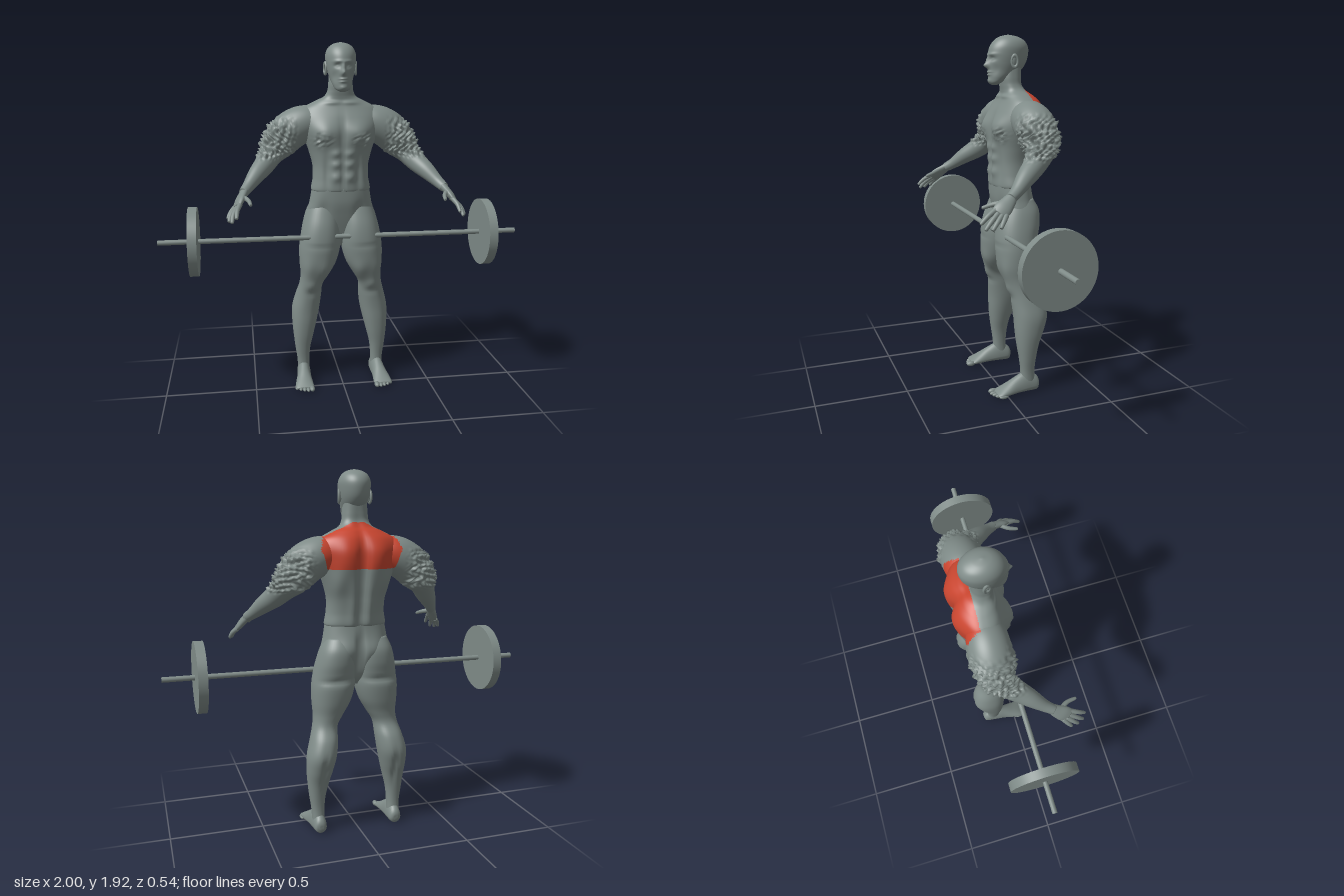
import * as THREE from 'three';

const skin = new THREE.MeshStandardMaterial({ color: 0x7f8b88 });
skin.name = 'grey';
const red = new THREE.MeshStandardMaterial({ color: 0xc8452f });
red.name = 'muscleRed';

// Smooth interpolation through the rows of a cross-section list
function rowAt(rows, t) {
  const n = rows.length - 1, i = Math.min(Math.floor(t * n), n - 1), f = t * n - i;
  const [a, b, c, d] = [Math.max(i - 1, 0), i, i + 1, Math.min(i + 2, n)].map(k => rows[k]);
  return b.map((_, k) => 0.5 * (2 * b[k] + (c[k] - a[k]) * f + (2 * a[k] - 5 * b[k] + 4 * c[k] - d[k]) * f * f
    + (3 * b[k] - a[k] - 3 * c[k] + d[k]) * f ** 3));
}

// Closed skin over rows [x, y, z, side radius, front radius, back radius];
// ref is the direction of the front radius; flat keeps the rings horizontal
function loft(rows, { seg = 32, steps = 40, ref = [0, 0, 1], flat = false, square = 1, warp, paint } = {}) {
  const pos = [], idx = [], painted = [], V = THREE.Vector3;
  for (let i = 0; i <= steps; i++) {
    const t = i / steps, r = rowAt(rows, t);
    const dir = flat ? new V(0, 1, 0) : new V(...rowAt(rows, Math.min(1, t + 0.01)).slice(0, 3))
      .sub(new V(...rowAt(rows, Math.max(0, t - 0.01)).slice(0, 3))).normalize();
    const v = new V(...ref).addScaledVector(dir, -dir.dot(new V(...ref))).normalize();
    const u = dir.clone().cross(v);
    for (let j = 0; j < seg; j++) {
      const a = j / seg * Math.PI * 2, c = Math.cos(a), s = Math.sin(a);
      const pw = k => Math.sign(k) * Math.abs(k) ** square;
      const p = new V(r[0], r[1], r[2]).addScaledVector(u, pw(c) * r[3]).addScaledVector(v, pw(s) * (s > 0 ? r[4] : r[5]));
      if (warp) warp(p, s, u.clone().multiplyScalar(c).addScaledVector(v, s));
      pos.push(p.x, p.y, p.z);
    }
  }
  const end = (steps + 1) * seg;
  pos.push(...rowAt(rows, 0).slice(0, 3), ...rowAt(rows, 1).slice(0, 3));
  const face = (...f) => {
    const m = [0, 1, 2].map(k => f.reduce((sum, q) => sum + pos[q * 3 + k], 0) / 3);
    (paint && paint(...m) ? painted : idx).push(...f);
  };
  for (let j = 0; j < seg; j++) {
    const k = (j + 1) % seg, top = steps * seg;
    for (let i = 0; i < steps; i++) {
      const o = i * seg;
      face(o + j, o + seg + j, o + k);
      face(o + k, o + seg + j, o + seg + k);
    }
    face(end, j, k);
    face(end + 1, top + k, top + j);
  }
  const g = new THREE.BufferGeometry();
  g.setAttribute('position', new THREE.Float32BufferAttribute(pos, 3));
  g.setIndex([...idx, ...painted]);
  g.addGroup(0, idx.length, 0);
  if (painted.length) g.addGroup(idx.length, painted.length, 1);
  g.computeVertexNormals();
  return g;
}

function mirrored(g) {
  const m = g.clone().scale(-1, 1, 1), ix = m.index.array;
  for (let i = 0; i < ix.length; i += 3) [ix[i], ix[i + 1]] = [ix[i + 1], ix[i]];
  m.computeVertexNormals();
  return m;
}

// Muscle relief: bumps [x, y, height, width, tall, side], symmetric about x = 0
const relief = bumps => (p, s) => {
  const x = Math.abs(p.x), y = p.y;
  let dz = 0;
  for (const [bx, by, h, w, t, side] of bumps) {
    if (s * side > 0) dz += side * h * Math.min(1, Math.abs(s) * 1.5) * Math.exp(-(((x - bx) / w) ** 2) - ((y - by) / t) ** 2);
  }
  p.z += dz;
};

// Rows given as [y, half width, front z, back z]
const upright = list => list.map(([y, w, f, b]) => [0, y, (f + b) / 2, w, (f - b) / 2, (f - b) / 2]);
// Rows given as [y, outer x, inner x, front z, back z]
const limb = list => list.map(([y, o, i, f, b]) => [(o + i) / 2, y, (f + b) / 2, (o - i) / 2, (f - b) / 2, (f - b) / 2]);

const isTrapezius = (x, y, z) => y > 1.43 && y < 1.67 && z < -0.16 && Math.abs(x) < 0.215 - 0.35 * Math.abs(y - 1.53);
const crumple = (x, y, z) => Math.sin(x * 145 + 2 * Math.sin(y * 90)) * Math.sin(y * 130 + z * 60) * Math.sin(z * 120 + x * 50);

export function createModel() {
  const model = new THREE.Group();
  const add = (name, geo, x = 0, y = 0, z = 0, mat = skin) => {
    const mesh = new THREE.Mesh(geo, geo.groups.length === 2 && geo.groups[1].materialIndex === 1 && mat === skin && geo.type === 'BufferGeometry' ? [skin, red] : mat);
    mesh.name = name;
    mesh.position.set(x, y, z);
    model.add(mesh);
    return mesh;
  };
  const pair = (name, geo) => {
    add('left' + name, geo);
    add('right' + name, mirrored(geo));
  };
  const ball = (x, y, z, sx, sy, sz) => new THREE.SphereGeometry(1, 16, 12).scale(sx, sy, sz).translate(x, y, z);

  // Torso with chest, abdomen and back relief
  const torsoRelief = relief([
    [0.095, 1.45, 0.022, 0.06, 0.06, 1], [0, 1.44, -0.012, 0.018, 0.09, 1], [0, 1.25, -0.01, 0.01, 0.11, 1],
    [0.038, 1.34, 0.01, 0.026, 0.02, 1], [0.038, 1.28, 0.01, 0.026, 0.02, 1], [0.038, 1.21, 0.01, 0.026, 0.024, 1],
    [0.085, 1.24, -0.01, 0.02, 0.1, 1], [0.05, 1.61, 0.008, 0.05, 0.012, 1],
    [0.085, 1.5, 0.02, 0.06, 0.1, -1], [0, 1.38, -0.03, 0.025, 0.2, -1], [0.13, 1.36, 0.012, 0.04, 0.07, -1],
    [0.045, 1.2, 0.01, 0.025, 0.1, -1],
  ]);
  add('torso', loft(upright([
    [1.13, 0.15, -0.01, -0.19], [1.14, 0.165, 0.002, -0.207], [1.2, 0.155, 0.004, -0.214], [1.27, 0.155, 0.004, -0.23],
    [1.34, 0.172, 0.005, -0.246], [1.41, 0.195, 0.01, -0.254], [1.47, 0.215, 0.006, -0.255], [1.53, 0.225, -0.015, -0.25],
    [1.58, 0.2, -0.04, -0.232], [1.615, 0.14, -0.055, -0.205], [1.64, 0.09, -0.055, -0.178], [1.67, 0.071, -0.05, -0.16],
    [1.71, 0.066, -0.045, -0.158], [1.77, 0.06, -0.05, -0.16],
  ]), {
    seg: 96, steps: 110, flat: true, square: 0.85, paint: isTrapezius,
    warp: (p, s) => {
      torsoRelief(p, s);
      // Crumpled patch on each side of the chest
      const d = ((Math.abs(p.x) - 0.115) / 0.05) ** 2 + ((p.y - 1.415) / 0.035) ** 2;
      if (s > 0) p.z += 0.016 * Math.exp(-d * d) * crumple(Math.abs(p.x), p.y, 0.3);
    },
  }));

  // Pelvis
  add('pelvis', loft(upright([
    [0.81, 0.03, -0.08, -0.13], [0.86, 0.1, -0.055, -0.17], [0.93, 0.17, -0.035, -0.195], [1.0, 0.188, -0.018, -0.21],
    [1.07, 0.173, -0.004, -0.208], [1.145, 0.16, -0.001, -0.202],
  ]), { seg: 64, flat: true, square: 0.85, warp: relief([[0.075, 1.0, 0.02, 0.06, 0.07, -1], [0, 1.0, -0.03, 0.015, 0.09, -1], [0.1, 1.02, -0.01, 0.03, 0.06, 1]]) }));

  // Legs
  pair('Leg', loft(limb([
    [0.04, 0.25, 0.183, -0.09, -0.175], [0.12, 0.253, 0.183, -0.09, -0.168], [0.2, 0.264, 0.176, -0.08, -0.175],
    [0.28, 0.273, 0.157, -0.068, -0.192], [0.36, 0.279, 0.137, -0.06, -0.222], [0.44, 0.277, 0.12, -0.056, -0.243],
    [0.52, 0.257, 0.11, -0.048, -0.226], [0.59, 0.237, 0.104, -0.034, -0.188], [0.65, 0.23, 0.07, -0.012, -0.188],
    [0.72, 0.235, 0.03, 0.008, -0.204], [0.8, 0.236, 0.006, 0.016, -0.215], [0.87, 0.227, 0.001, 0.015, -0.215],
    [0.94, 0.213, 0.002, 0.004, -0.228], [1.01, 0.193, 0.006, -0.018, -0.226], [1.07, 0.165, 0.02, -0.04, -0.195],
  ]), {
    seg: 40, steps: 70, flat: true, square: 0.9,
    warp: relief([[0.17, 0.59, 0.01, 0.035, 0.03, 1], [0.165, 0.545, -0.006, 0.04, 0.02, 1], [0.09, 0.68, 0.01, 0.04, 0.05, 1],
      [0.2, 0.69, 0.008, 0.03, 0.06, 1], [0.2, 0.36, -0.014, 0.012, 0.09, -1], [0.12, 0.845, -0.012, 0.1, 0.014, -1], [0.13, 0.825, -0.005, 0.07, 0.01, 1]]),
  }));

  // Feet and toes
  pair('Foot', loft([
    [0.215, 0.035, -0.196, 0.012, 0.012, 0.014], [0.215, 0.036, -0.182, 0.032, 0.05, 0.033], [0.217, 0.036, -0.125, 0.038, 0.08, 0.033],
    [0.221, 0.03, -0.06, 0.041, 0.062, 0.026], [0.225, 0.025, 0, 0.049, 0.034, 0.023], [0.226, 0.02, 0.04, 0.051, 0.016, 0.018],
    [0.226, 0.018, 0.058, 0.042, 0.006, 0.01],
  ], { ref: [0, 1, 0], steps: 30 }));
  for (let i = 0; i < 5; i++) {
    const r = i ? 0.0105 : 0.0145;
    pair('Toe' + (i + 1), ball(0.187 + i * 0.0205 + (i ? 0.002 : 0), r + 0.002, 0.064 - i * i * 0.0022, r, r, 0.026));
  }

  // Arms, crumpled over the upper part
  const round = (x, y, z, r) => [x, y, z, r, r, r];
  pair('Arm', loft([
    round(0.1, 1.5, -0.13, 0.08), round(0.19, 1.495, -0.135, 0.1), round(0.26, 1.465, -0.137, 0.105), round(0.31, 1.42, -0.137, 0.1),
    round(0.35, 1.375, -0.13, 0.088), round(0.385, 1.33, -0.105, 0.066), round(0.42, 1.285, -0.06, 0.056), round(0.465, 1.24, 0, 0.046),
    round(0.51, 1.19, 0.06, 0.032), round(0.537, 1.162, 0.103, 0.026),
  ], {
    seg: 72, steps: 100, paint: isTrapezius,
    warp: (p, s, out) => {
      const k = THREE.MathUtils.smoothstep(p.x, 0.23, 0.3) * THREE.MathUtils.smoothstep(p.y, 1.3, 1.35) * (1 - THREE.MathUtils.smoothstep(p.y, 1.48, 1.55));
      p.addScaledVector(out, 0.022 * k * crumple(p.x, p.y, p.z));
    },
  }));

  // Hands: palm, four fingers and a thumb
  pair('Palm', loft([
    [0.53, 1.17, 0.092, 0.021, 0.026, 0.026], [0.548, 1.145, 0.12, 0.02, 0.034, 0.036], [0.562, 1.122, 0.15, 0.019, 0.042, 0.042],
    [0.574, 1.1, 0.177, 0.013, 0.038, 0.038],
  ], { ref: [0.35, -0.3, -0.85], steps: 16, seg: 24 }));
  const fingers = {
    Thumb: [[0.54, 1.145, 0.145], [0.515, 1.135, 0.185], [0.505, 1.12, 0.233]],
    IndexFinger: [[0.557, 1.118, 0.185], [0.572, 1.092, 0.23], [0.577, 1.06, 0.265]],
    MiddleFinger: [[0.57, 1.104, 0.178], [0.592, 1.07, 0.22], [0.6, 1.036, 0.25]],
    RingFinger: [[0.58, 1.096, 0.162], [0.605, 1.066, 0.196], [0.615, 1.036, 0.22]],
    LittleFinger: [[0.584, 1.095, 0.143], [0.608, 1.07, 0.165], [0.621, 1.044, 0.182]],
  };
  for (const [name, [a, b, c]] of Object.entries(fingers)) {
    pair(name, loft([round(...a, 0.013), round(...b, 0.0115), round(...c, 0.008), round(...c, 0.001)], { ref: [1, 0, 0], steps: 15, seg: 12 }));
  }

  // Head with facial relief
  add('head', loft(upright([
    [1.668, 0.012, 0, -0.03], [1.68, 0.036, 0.014, -0.05], [1.705, 0.051, 0.018, -0.095], [1.74, 0.063, 0.019, -0.155],
    [1.78, 0.074, 0.02, -0.187], [1.825, 0.081, 0.019, -0.2], [1.865, 0.081, 0.009, -0.199], [1.897, 0.067, -0.014, -0.178],
    [1.917, 0.04, -0.045, -0.14], [1.926, 0.003, -0.085, -0.095],
  ]), {
    seg: 80, steps: 90, flat: true,
    warp: relief([[0, 1.768, 0.023, 0.013, 0.015, 1], [0, 1.795, 0.012, 0.009, 0.022, 1], [0.03, 1.803, -0.012, 0.018, 0.012, 1],
      [0.03, 1.801, 0.005, 0.009, 0.006, 1], [0.025, 1.826, 0.005, 0.03, 0.008, 1], [0, 1.735, 0.008, 0.02, 0.006, 1],
      [0, 1.722, 0.008, 0.017, 0.006, 1], [0, 1.7285, -0.004, 0.02, 0.003, 1], [0, 1.69, 0.006, 0.02, 0.012, 1], [0.045, 1.75, -0.006, 0.015, 0.025, 1]]),
  }));
  const ear = new THREE.TorusGeometry(0.02, 0.007, 8, 24).scale(0.8, 1.45, 1).rotateY(Math.PI / 2 - 0.25).translate(0.083, 1.79, -0.096);
  pair('Ear', ear);
  pair('EarLobe', ball(0.077, 1.788, -0.092, 0.008, 0.028, 0.016));

  // Barbell
  const disc = (r, w, n) => new THREE.CylinderGeometry(r, r, w, n).rotateZ(Math.PI / 2);
  add('bar', disc(0.014, 2, 24), 0, 0.88, -0.018, [skin, skin, skin]);
  for (const s of [1, -1]) add(s > 0 ? 'leftPlate' : 'rightPlate', disc(0.187, 0.048, 64), s * 0.81, 0.88, -0.018, [skin, skin, skin]);
  return model;
}
